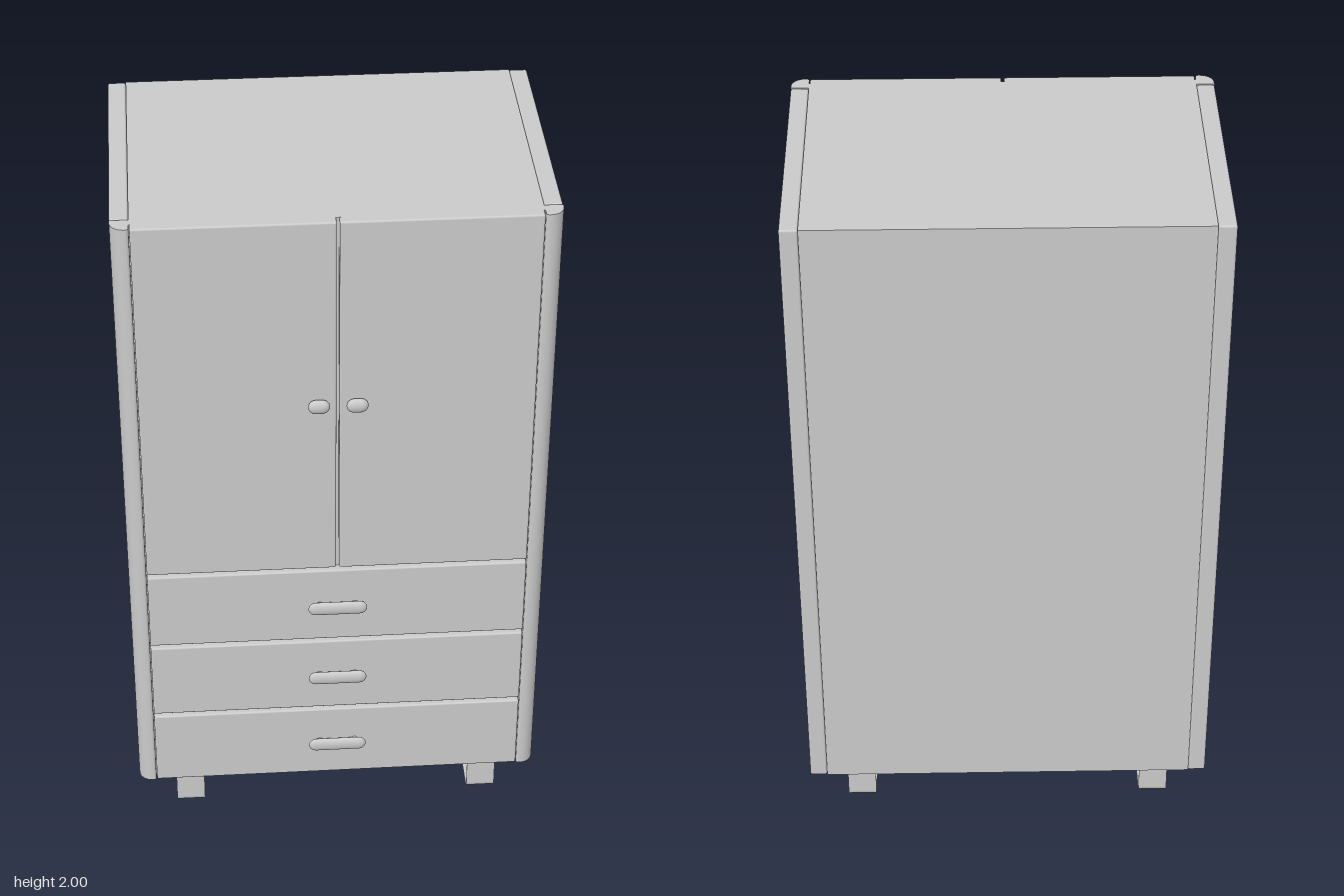
import * as THREE from 'three';
import { RoundedBoxGeometry } from 'three/addons/geometries/RoundedBoxGeometry.js';

const BOTTOM = 0.125, TOP = 2;

export function createModel() {
  const model = new THREE.Group();
  const material = new THREE.MeshStandardMaterial({ color: 0xcccccc });

  const add = (name, geometry, parent = model) => {
    const mesh = new THREE.Mesh(geometry, material);
    mesh.name = name;
    parent.add(mesh);
    return mesh;
  };
  // Box given by its limits, with softened edges when r > 0
  const slab = (name, x0, x1, y0, y1, z0, z1, r = 0) => {
    const size = [x1 - x0, y1 - y0, z1 - z0];
    const geometry = r ? new RoundedBoxGeometry(...size, 3, r) : new THREE.BoxGeometry(...size);
    return add(name, geometry.translate((x0 + x1) / 2, (y0 + y1) / 2, (z0 + z1) / 2));
  };
  // Closed outline of a rectangle with rounded corners
  const roundedRect = (path, x0, y0, x1, y1, r) => {
    path.moveTo(x0 + r, y0);
    path.lineTo(x1 - r, y0).absarc(x1 - r, y0 + r, r, -Math.PI / 2, 0);
    path.lineTo(x1, y1 - r).absarc(x1 - r, y1 - r, r, 0, Math.PI / 2);
    path.lineTo(x0 + r, y1).absarc(x0 + r, y1 - r, r, Math.PI / 2, Math.PI);
    path.lineTo(x0, y0 + r).absarc(x0 + r, y0 + r, r, Math.PI, Math.PI * 1.5);
    return path;
  };

  // Cabinet body
  slab('carcass', -0.528, 0.528, BOTTOM, TOP, -0.4, 0.35);

  for (const [side, s] of [['left', 1], ['right', -1]]) {
    // Side panel
    const a = s * 0.528, b = s * 0.577;
    slab(side + 'SidePanel', Math.min(a, b), Math.max(a, b), BOTTOM, TOP, -0.4, 0.324, 0.006);

    // Front corner post, with a large radius on the outer front edge
    const profile = new THREE.Shape();
    profile.moveTo(0.528, -0.326);
    profile.lineTo(0.577, -0.326);
    profile.lineTo(0.577, -0.337);
    profile.absarc(0.539, -0.337, 0.038, 0, -Math.PI / 2, true);
    profile.absarc(0.536, -0.367, 0.008, -Math.PI / 2, -Math.PI, true);
    profile.closePath();
    let points = profile.getPoints(8);
    if (s < 0) points = points.map((p) => new THREE.Vector2(-p.x, p.y));
    const post = new THREE.ExtrudeGeometry(new THREE.Shape(points),
      { depth: TOP - BOTTOM, bevelEnabled: false });
    add(side + 'CornerPost', post.rotateX(-Math.PI / 2).translate(0, BOTTOM, 0));

    // Door and its oval knob
    const inner = s * 0.004, outer = s * 0.526;
    slab(side + 'Door', Math.min(inner, outer), Math.max(inner, outer), 0.888, TOP, 0.345, 0.375, 0.005);
    const knob = new THREE.Group();
    knob.name = side + 'Knob';
    knob.position.set(s * 0.051, 1.443, 0.375);
    model.add(knob);
    add('knobHead', new THREE.CapsuleGeometry(0.021, 0.016, 8, 20)
      .rotateZ(Math.PI / 2).scale(1, 1, 0.57).translate(0, 0, 0.013), knob);
    add('knobStem', new THREE.CylinderGeometry(0.012, 0.012, 0.016, 16)
      .rotateX(Math.PI / 2).translate(0, 0, 0.005), knob);
  }

  // Three drawers, each with a flattened bar handle on two stems
  [[0.126, 0.368], [0.379, 0.623], [0.634, 0.878]].forEach(([y0, y1], i) => {
    slab('drawer' + (i + 1), -0.526, 0.526, y0, y1, 0.345, 0.375, 0.005);
    const handle = new THREE.Group();
    handle.name = 'drawerHandle' + (i + 1);
    handle.position.set(0, (y0 + y1) / 2, 0.375);
    model.add(handle);
    add('handleBar', new THREE.CapsuleGeometry(0.021, 0.122, 8, 20)
      .rotateZ(Math.PI / 2).scale(1, 1, 0.45).translate(0, 0, 0.0155), handle);
    for (const x of [-0.05, 0.05]) {
      add('handleStem', new THREE.CylinderGeometry(0.012, 0.012, 0.018, 16)
        .rotateX(Math.PI / 2).translate(x, 0, 0.005), handle);
    }
  });

  // Two open runner feet: thin bands bent into rounded rectangles
  const band = roundedRect(new THREE.Shape(), -0.34, 0, 0.36, BOTTOM, 0.02);
  band.holes.push(roundedRect(new THREE.Path(), -0.336, 0.004, 0.356, BOTTOM - 0.004, 0.016));
  for (const [side, x] of [['left', 0.388], ['right', -0.47]]) {
    add(side + 'RunnerFoot', new THREE.ExtrudeGeometry(band,
      { depth: 0.082, bevelEnabled: false, curveSegments: 6 })
      .rotateY(Math.PI / 2).translate(x, 0, 0));
  }

  return model;
}
